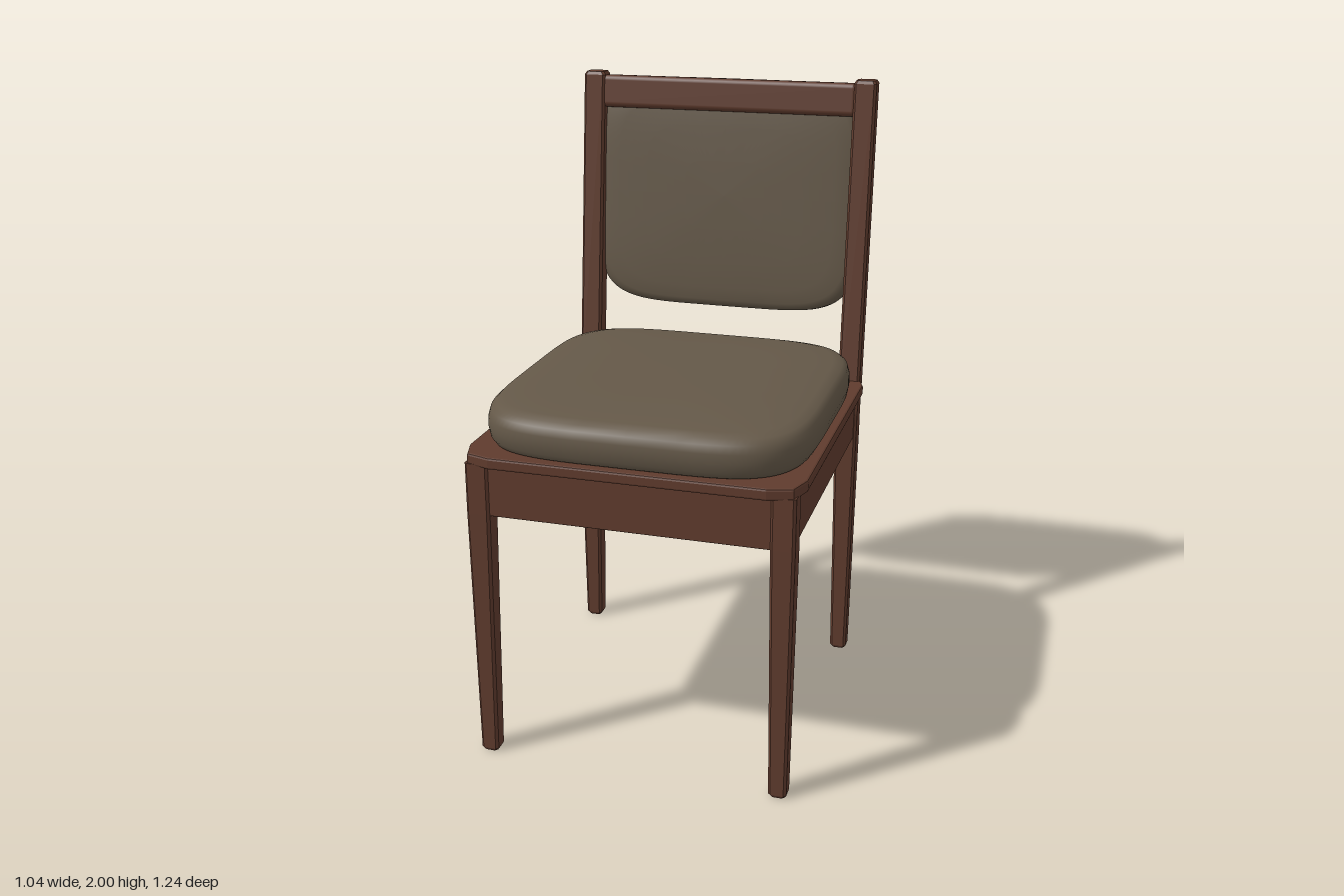
import * as THREE from 'three';
import { RoundedBoxGeometry } from 'three/addons/geometries/RoundedBoxGeometry.js';

// Skin closed rings of equal length (bottom to top, counter-clockwise from above is handled here).
function loft(rings) {
  const n = rings[0].length, pos = rings.flat(2), idx = [];
  for (let r = 0; r < rings.length - 1; r++) {
    for (let i = 0; i < n; i++) {
      const a = r * n + i, b = r * n + (i + 1) % n, c = a + n, d = b + n;
      idx.push(a, c, b, b, c, d);
    }
  }
  // end caps
  const top = (rings.length - 1) * n;
  for (let i = 1; i < n - 1; i++) {
    idx.push(0, i, i + 1, top, top + i + 1, top + i);
  }
  const g = new THREE.BufferGeometry();
  g.setAttribute('position', new THREE.Float32BufferAttribute(pos, 3));
  g.setIndex(idx);
  return g;
}

// Square post with chamfered edges through sections [y, centre z, half width, half depth].
function postGeometry(x, sections) {
  const c = 0.008;
  const rings = sections.map(([y, z, w, d]) => [
    [w, d - c], [w - c, d], [c - w, d], [-w, d - c],
    [-w, c - d], [c - w, -d], [w - c, -d], [w, c - d],
  ].map(([px, pz]) => [x + px, y, z + pz]));
  const g = loft(rings).toNonIndexed();
  g.computeVertexNormals();
  return g;
}

// Soft pad: superellipse outline, profile of [outline scale, height].
function padGeometry(hw, hd, power, profile) {
  const n = 96;
  const rings = profile.map(([s, y]) => Array.from({ length: n }, (_, i) => {
    const a = -i / n * Math.PI * 2, c = Math.cos(a), t = Math.sin(a);
    const e = 2 / power;
    return [hw * s * Math.sign(c) * Math.abs(c) ** e, y, hd * s * Math.sign(t) * Math.abs(t) ** e];
  }));
  const g = loft(rings.map((r) => r.reverse()));
  g.computeVertexNormals();
  return g;
}

export function createModel() {
  const group = new THREE.Group();
  const wood = new THREE.MeshStandardMaterial({ color: 0x5f3b2d });
  wood.name = 'brown wood';
  const fabric = new THREE.MeshStandardMaterial({ color: 0x645848 });
  fabric.name = 'taupe fabric';

  function add(name, geometry, material, x = 0, y = 0, z = 0) {
    const m = new THREE.Mesh(geometry, material);
    m.name = name;
    m.position.set(x, y, z);
    group.add(m);
    return m;
  }

  for (const [side, s] of [['left', 1], ['right', -1]]) {
    // tapered front legs
    add(side + 'FrontLeg', postGeometry(s * 0.467, [
      [0, 0.573, 0.022, 0.022], [0.01, 0.573, 0.028, 0.028],
      [0.82, 0.57, 0.037, 0.035], [0.98, 0.57, 0.037, 0.035],
    ]), wood);
    // rear legs bending back into the backrest posts
    add(side + 'BackPost', postGeometry(s * 0.465, [
      [0, -0.405, 0.022, 0.022], [0.01, -0.405, 0.028, 0.028],
      [0.82, -0.405, 0.037, 0.037], [0.9, -0.407, 0.037, 0.036],
      [1.0, -0.428, 0.037, 0.032], [1.99, -0.528, 0.037, 0.032], [2.0, -0.529, 0.031, 0.027],
    ]), wood);
    // side aprons
    add(side + 'Apron', new RoundedBoxGeometry(0.035, 0.165, 0.92, 2, 0.004), wood, s * 0.475, 0.897, 0.08);
  }

  // front and back aprons
  add('frontApron', new RoundedBoxGeometry(0.88, 0.165, 0.035, 2, 0.004), wood, 0, 0.897, 0.58);
  add('backApron', new RoundedBoxGeometry(0.88, 0.165, 0.035, 2, 0.004), wood, 0, 0.897, -0.415);

  // seat board with clipped corners
  const half = [[0.42, 0.613], [0.49, 0.592], [0.513, 0.52], [0.513, -0.365], [0.49, -0.43], [0.43, -0.438]];
  const outline = [...half, ...half.map(([x, z]) => [-x, z]).reverse()];
  const board = new THREE.ExtrudeGeometry(
    new THREE.Shape(outline.map(([x, z]) => new THREE.Vector2(x, -z))),
    { depth: 0.023, bevelEnabled: true, bevelThickness: 0.007, bevelSize: 0.007, bevelSegments: 2 },
  );
  board.rotateX(-Math.PI / 2);
  add('seatBoard', board, wood, 0, 0.98, 0);

  // seat cushion
  add('seatCushion', padGeometry(0.508, 0.525, 4.6, [
    [0.001, 1.006], [0.94, 1.006], [0.97, 1.014], [0.99, 1.032], [1, 1.062], [0.998, 1.09],
    [0.985, 1.115], [0.955, 1.13], [0.9, 1.139], [0.75, 1.148], [0.5, 1.154], [0.25, 1.156], [0.001, 1.157],
  ]), fabric, 0, 0, 0.085);

  // top rail between the posts
  const tilt = -0.1;
  const rail = add('topRail', new RoundedBoxGeometry(0.88, 0.108, 0.055, 4, 0.018), wood, 0, 1.935, -0.523);
  rail.rotation.x = tilt;

  // back cushion, a pad bulging to both faces
  const face = [[1, 0.012], [0.992, 0.03], [0.97, 0.044], [0.93, 0.052], [0.82, 0.057], [0.6, 0.061], [0.3, 0.063], [0.001, 0.064]];
  const backPad = padGeometry(0.462, 0.388, 5, [...face.map(([s, y]) => [s, -y]).reverse(), ...face]);
  backPad.rotateX(Math.PI / 2);
  add('backCushion', backPad, fabric, 0, 1.597, -0.54).rotation.x = -0.085;

  return group;
}
